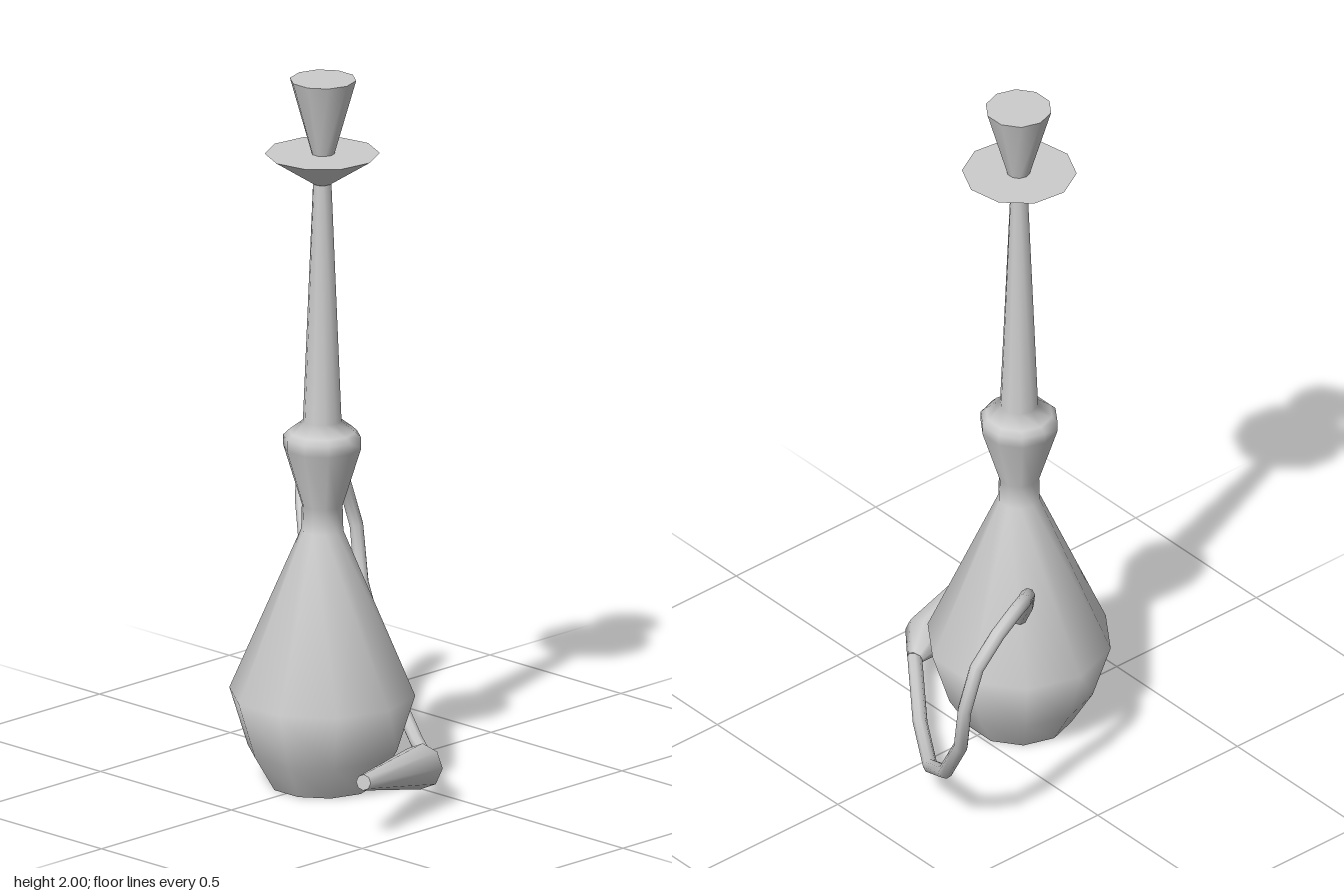
import * as THREE from 'three';

const SIDES = 10;
const grey = () => new THREE.MeshStandardMaterial({ color: 0xcccccc });

function part(name, geometry) {
  const mesh = new THREE.Mesh(geometry, grey());
  mesh.name = name;
  return mesh;
}

// Sweeps a ring along a polyline of [x, y, z, radius], closing both ends.
function sweep(path, sides) {
  const pts = path.map(([x, y, z]) => new THREE.Vector3(x, y, z));
  const pos = [], index = [];
  const normal = new THREE.Vector3(0, 1, 0);
  pts.forEach((p, i) => {
    const before = pts[Math.max(i - 1, 0)], after = pts[Math.min(i + 1, pts.length - 1)];
    const tangent = after.clone().sub(before).normalize();
    normal.addScaledVector(tangent, -normal.dot(tangent)).normalize();
    const binormal = tangent.clone().cross(normal);
    for (let j = 0; j < sides; j++) {
      const a = (j / sides) * Math.PI * 2, r = path[i][3];
      const v = p.clone().addScaledVector(normal, Math.cos(a) * r).addScaledVector(binormal, Math.sin(a) * r);
      pos.push(v.x, v.y, v.z);
      if (i > 0) {
        const k = (j + 1) % sides, lo = (i - 1) * sides, hi = i * sides;
        index.push(lo + j, lo + k, hi + j, lo + k, hi + k, hi + j);
      }
    }
  });
  // end caps on their own vertices, so the rims stay sharp
  for (const end of [0, pts.length - 1]) {
    const start = pos.length / 3;
    for (let j = 0; j < sides * 3; j++) pos.push(pos[end * sides * 3 + j]);
    for (let j = 1; j < sides - 1; j++) {
      if (end === 0) index.push(start, start + j + 1, start + j);
      else index.push(start, start + j, start + j + 1);
    }
  }
  const g = new THREE.BufferGeometry();
  g.setAttribute('position', new THREE.Float32BufferAttribute(pos, 3));
  g.setIndex(index);
  g.computeVertexNormals();
  return g;
}

export function createModel() {
  const model = new THREE.Group();
  const pipe = new THREE.Group();
  pipe.name = 'waterPipe';
  pipe.position.x = -0.15;
  model.add(pipe);

  // vase, neck bulge and tapering stem in one turned profile
  const profile = [
    [0.146, 0], [0.205, 0.1], [0.255, 0.26], [0.058, 0.72], [0.056, 0.79],
    [0.107, 0.955], [0.107, 0.985], [0.092, 1.0], [0.053, 1.03], [0.025, 1.71],
  ].map(([r, y]) => new THREE.Vector2(r, y));
  pipe.add(part('vaseAndStem', new THREE.LatheGeometry(profile, SIDES)));

  // flat underside
  const base = part('base', new THREE.CircleGeometry(0.146, SIDES, Math.PI / 2));
  base.rotation.x = Math.PI / 2;
  pipe.add(base);

  // ash plate, turned slightly on the stem
  const plate = part('plate', new THREE.CylinderGeometry(0.156, 0.025, 0.085, SIDES));
  plate.position.set(-0.005, 1.7475, 0.005);
  plate.rotation.y = 0.18;
  pipe.add(plate);

  // tobacco bowl
  const bowl = part('bowl', new THREE.CylinderGeometry(0.091, 0.03, 0.215, SIDES));
  bowl.position.set(-0.003, 1.8925, 0.006);
  pipe.add(bowl);

  // hose looping from the vase round to the front
  const hose = [
    [-0.04, 0.44, -0.13], [0.035, 0.575, -0.245], [0.1, 0.68, -0.325], [0.165, 0.722, -0.385],
    [0.225, 0.735, -0.42], [0.31, 0.707, -0.443], [0.385, 0.63, -0.443], [0.425, 0.51, -0.44],
    [0.405, 0.36, -0.4], [0.365, 0.2, -0.29], [0.285, 0.1, -0.135], [0.14, 0.068, 0.075],
    [-0.035, 0.087, 0.3],
  ].map((p) => [...p, 0.02]);
  model.add(part('hose', sweep(hose, 8)));

  // mouthpiece flaring from the hose, then tapering to its tip
  const mouthpiece = [
    [-0.03, 0.087, 0.295, 0.022], [-0.1, 0.108, 0.33, 0.063], [-0.435, 0.16, 0.44, 0.022],
  ];
  model.add(part('mouthpiece', sweep(mouthpiece, 8)));

  return model;
}
